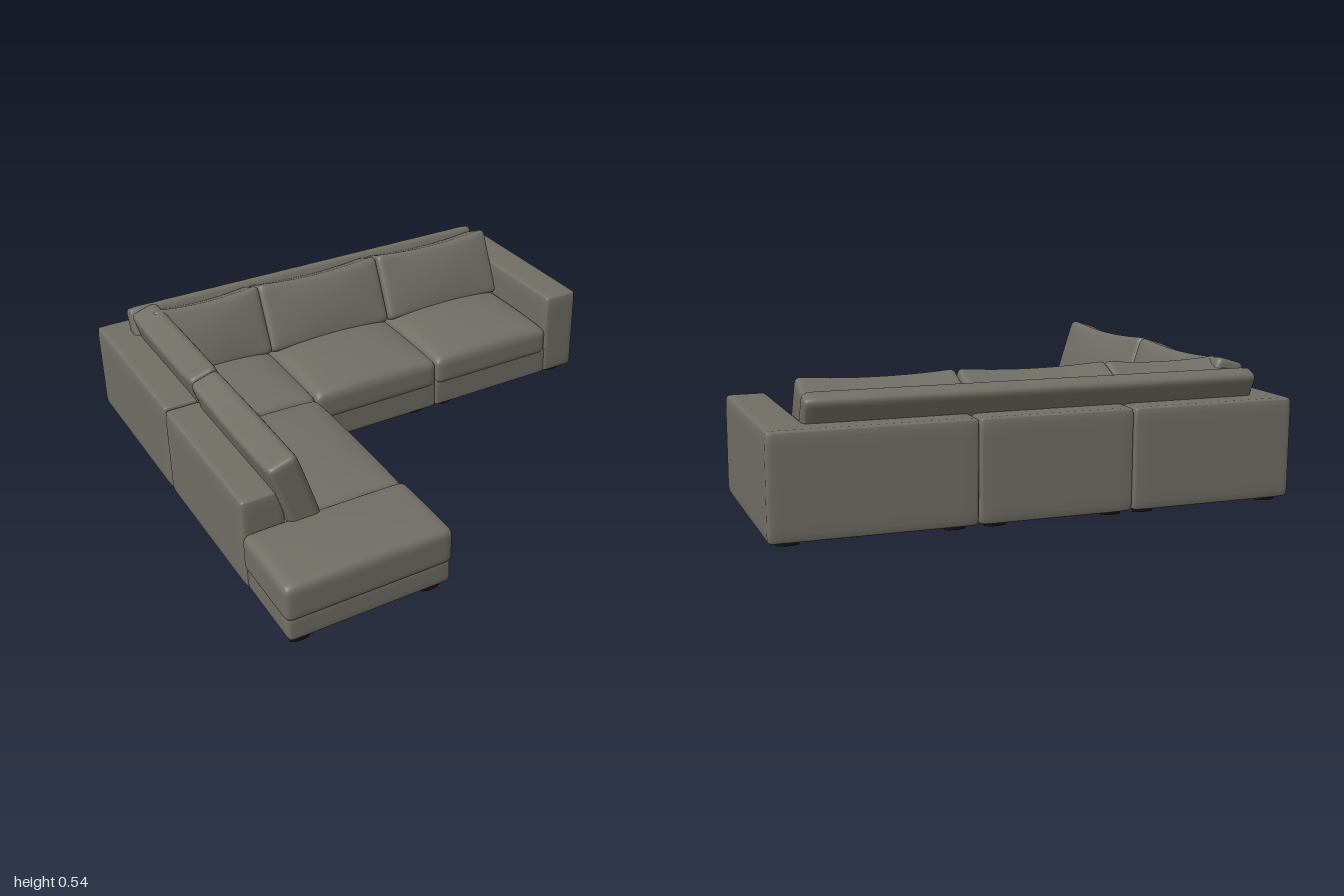
import * as THREE from 'three';
import { mergeVertices } from 'three/addons/utils/BufferGeometryUtils.js';

const fabric = new THREE.MeshStandardMaterial({ color: 0x716e66 });
fabric.name = 'warm grey fabric';
const black = new THREE.MeshStandardMaterial({ color: 0x101010 });
black.name = 'black feet';

// Soft block: a rounded box, optionally domed on top, bulged in front or sagging at its upper edge
function softBlock(w, h, d, r, { dome = 0, bulge = 0, sag = 0, n = 18 } = {}) {
  let g = new THREE.BoxGeometry(2, 2, 2, n, n, n);
  g.deleteAttribute('normal');
  g.deleteAttribute('uv');
  g = mergeVertices(g, 1e-4);
  const half = new THREE.Vector3(w / 2, h / 2, d / 2);
  const inner = half.clone().subScalar(r);
  const p = new THREE.Vector3(), c = new THREE.Vector3();
  // crowd the vertices towards the edges so the rounding is smooth
  const ease = (t) => Math.sign(t) * (1 - Math.pow(1 - Math.abs(t), 2));
  const pos = g.attributes.position;
  for (let i = 0; i < pos.count; i++) {
    p.fromBufferAttribute(pos, i);
    p.set(ease(p.x), ease(p.y), ease(p.z)).multiply(half);
    c.copy(p).clamp(inner.clone().negate(), inner);
    p.sub(c).normalize().multiplyScalar(r).add(c);
    const u = p.x / half.x, v = p.y / half.y, s = p.z / half.z;
    const fu = Math.max(0, 1 - u * u), fv = Math.max(0, 1 - v * v), fs = Math.max(0, 1 - s * s);
    if (v > 0) p.y += v * dome * Math.sqrt(fu) * Math.sqrt(fs);
    if (v > 0) p.y -= v * v * sag * fu;
    if (s > 0) p.z += s * bulge * fu * fv;
    pos.setXYZ(i, p.x, p.y, p.z);
  }
  g.computeVertexNormals();
  return g;
}

export function createModel() {
  const model = new THREE.Group();
  model.name = 'cornerSofa';

  function add(name, geometry, x, y, z, material = fabric) {
    const m = new THREE.Mesh(geometry, material);
    m.name = name;
    m.position.set(x, y, z);
    model.add(m);
    return m;
  }
  // Soft block given by its limits on each axis
  function span(name, x0, x1, y0, y1, z0, z1, r, opts) {
    return add(name, softBlock(x1 - x0, y1 - y0, z1 - z0, r, opts),
      (x0 + x1) / 2, (y0 + y1) / 2, (z0 + z1) / 2);
  }

  // Plinths under the seats
  const hard = { n: 10 };
  span('cornerBase', -0.985, -0.338, 0.02, 0.15, -0.9, -0.14, 0.012, hard);
  span('middleBase', -0.338, 0.25, 0.02, 0.15, -0.9, -0.145, 0.012, hard);
  span('endBase', 0.25, 0.84, 0.02, 0.15, -0.9, -0.145, 0.012, hard);
  span('sideBase', -0.985, -0.338, 0.02, 0.15, -0.14, 0.57, 0.012, hard);
  span('ottomanBase', -0.985, -0.338, 0.02, 0.13, 0.56, 0.905, 0.02, hard);

  // Low back rails and the wide arm
  span('backRailCorner', -0.99, -0.338, 0.02, 0.4, -0.92, -0.74, 0.02, hard);
  span('backRailMiddle', -0.338, 0.25, 0.02, 0.4, -0.92, -0.74, 0.02, hard);
  span('backRailEnd', 0.25, 0.98, 0.02, 0.4, -0.92, -0.74, 0.02, hard);
  span('sideRailCorner', -0.99, -0.82, 0.02, 0.4, -0.92, -0.14, 0.02, hard);
  span('sideRailFront', -0.99, -0.82, 0.02, 0.395, -0.14, 0.57, 0.02, hard);
  span('arm', 0.83, 0.99, 0.02, 0.4, -0.92, -0.14, 0.02, hard);

  // Seat cushions
  const seat = { dome: 0.045 };
  span('middleSeat', -0.335, 0.25, 0.125, 0.245, -0.7, -0.135, 0.03, seat);
  span('endSeat', 0.25, 0.835, 0.125, 0.245, -0.7, -0.135, 0.03, seat);
  span('cornerSeat', -0.82, -0.335, 0.125, 0.245, -0.7, -0.135, 0.03, seat);
  span('sideSeat', -0.85, -0.335, 0.125, 0.245, -0.135, 0.56, 0.03, seat);
  span('ottomanCushion', -0.995, -0.333, 0.11, 0.26, 0.56, 0.915, 0.03, { dome: 0.016 });

  // Leaning back cushions along the back
  const back = { bulge: 0.02, sag: 0.018 };
  for (const [name, x, w] of [['cornerBackCushion', -0.575, 0.48],
    ['middleBackCushion', -0.045, 0.585], ['endBackCushion', 0.545, 0.585]]) {
    add(name, softBlock(w, 0.305, 0.145, 0.025, back), x, 0.375, -0.665).rotation.x = -0.42;
  }

  // Leaning back cushions along the side, facing inwards
  for (const [name, z, w, x] of [['sideBackCushion', 0.25, 0.7, -0.79],
    ['innerSideBackCushion', -0.43, 0.65, -0.785]]) {
    const m = add(name, softBlock(w, 0.315, 0.12, 0.025, back), x, 0.376, z);
    m.rotation.order = 'YXZ';
    m.rotation.set(-0.3, Math.PI / 2, 0);
  }

  // Bolster behind the back cushions
  add('bolster', softBlock(1.72, 0.2, 0.075, 0.025), -0.015, 0.405, -0.788).rotation.x = -0.42;

  // Flat oval feet at the corners of every section
  const foot = new THREE.CylinderGeometry(1, 1, 0.024, 20);
  for (const [x, z] of [[-0.93, 0.87], [-0.41, 0.87], [-0.93, -0.11], [-0.41, -0.11],
    [-0.93, -0.85], [-0.41, -0.85], [-0.28, -0.85], [0.17, -0.85], [0.32, -0.85], [0.91, -0.85],
    [-0.28, -0.19], [0.17, -0.19], [0.32, -0.19], [0.91, -0.19]]) {
    add('foot', foot, x, 0.012, z, black).scale.set(0.04, 1, 0.018);
  }
  return model;
}
